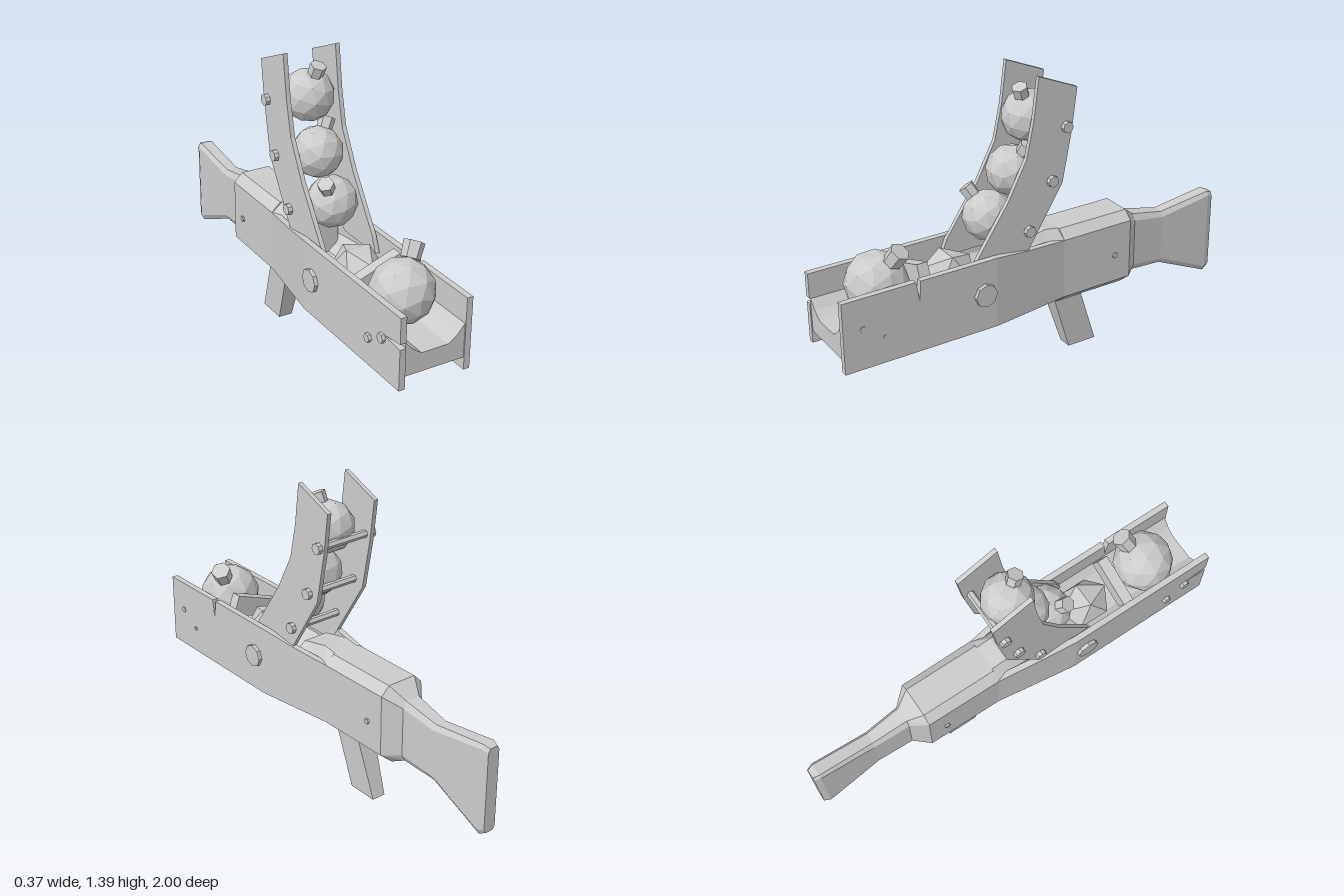
import * as THREE from 'three';

const mat = new THREE.MeshStandardMaterial({ color: 0xcccccc, flatShading: true, side: THREE.DoubleSide });

// Closed solid through cross-sections [z, [[x, y], ...]] listed front to back, corners counter-clockwise
function loft(sections) {
  const n = sections[0][1].length, pos = [], idx = [];
  for (const [z, pts] of sections) for (const [x, y] of pts) pos.push(x, y, z);
  for (let s = 0; s < sections.length - 1; s++) {
    for (let j = 0; j < n; j++) {
      const a = s * n + j, b = s * n + (j + 1) % n;
      idx.push(a, a + n, b, b, a + n, b + n);
    }
  }
  const cap = (s) => THREE.ShapeUtils.triangulateShape(sections[s][1].map((p) => new THREE.Vector2(...p)), []);
  const last = sections.length - 1;
  for (const [a, b, c] of cap(0)) idx.push(a, b, c);
  for (const [a, b, c] of cap(last)) idx.push(last * n + a, last * n + c, last * n + b);
  const g = new THREE.BufferGeometry();
  g.setAttribute('position', new THREE.Float32BufferAttribute(pos, 3));
  g.setIndex(idx);
  const flat = g.toNonIndexed();
  flat.computeVertexNormals();
  return flat;
}

// Side profile of [z, y] points, given thickness along x and centred on x
function sideProfile(points, thickness, x) {
  const shape = new THREE.Shape(points.map((p) => new THREE.Vector2(...p)));
  return new THREE.ExtrudeGeometry(shape, { depth: thickness, bevelEnabled: false })
    .rotateY(-Math.PI / 2).translate(x + thickness / 2, 0, 0);
}

// Cross-section with chamfered top and bottom
const octagon = (hw, bw, y0, y1, tw, y2, y3) => [
  [-bw, y0], [bw, y0], [hw, y1], [hw, y2], [tw, y3], [-tw, y3], [-hw, y2], [-hw, y1]];

export function createModel() {
  const model = new THREE.Group();
  const add = (name, geometry) => {
    const mesh = new THREE.Mesh(geometry, mat);
    mesh.name = name;
    model.add(mesh);
    return mesh;
  };
  const rod = (name, r, x0, x1, y, z, sides) =>
    add(name, new THREE.CylinderGeometry(r, r, Math.abs(x1 - x0), sides)
      .rotateZ(Math.PI / 2).translate((x0 + x1) / 2, y, z));

  // Front planks: the left has a split in its top edge, the right one in its front end
  add('leftPlank', sideProfile([[1, 0.32], [1, 0.645], [0.665, 0.645], [0.65, 0.555], [0.643, 0.645],
    [0.28, 0.645], [0.28, 0.32]], 0.028, 0.153));
  add('rightPlank', sideProfile([[1, 0.32], [1, 0.505], [0.88, 0.515], [1, 0.53], [1, 0.645],
    [0.28, 0.645], [0.28, 0.32]], 0.028, -0.153));

  // Tapering rear planks
  for (const s of [1, -1]) {
    const section = (z, inner, top) => {
      const a = Math.min(s * inner, s * (inner + 0.028)), b = a + 0.028;
      return [z, [[a, 0.32], [b, 0.32], [b, top], [a, top]]];
    };
    add(s > 0 ? 'leftRearPlank' : 'rightRearPlank',
      loft([section(0.28, 0.139, 0.645), section(0.1, 0.114, 0.62), section(-0.1, 0.085, 0.6)]));
  }

  // Grooved trough floor between the planks
  const trough = (w) => [[-1, 0.375], [1, 0.375], [1, 0.53], [0.75, 0.49], [0.45, 0.46],
    [-0.45, 0.46], [-0.75, 0.49], [-1, 0.53]].map(([x, y]) => [x * w, y]);
  add('troughFloor', loft([[0.995, trough(0.14)], [0.28, trough(0.14)], [-0.1, trough(0.09)]]));

  // Receiver, its sloping front crown and the stock
  add('receiverCrown', loft([
    [0.11, octagon(0.1, 0.08, 0.45, 0.47, 0.06, 0.59, 0.62)],
    [-0.03, octagon(0.095, 0.08, 0.45, 0.47, 0.06, 0.6, 0.65)],
    [-0.1, octagon(0.11, 0.08, 0.45, 0.47, 0.06, 0.6, 0.64)]]));
  add('receiverAndStock', loft([
    [-0.1, octagon(0.113, 0.045, 0.265, 0.32, 0.07, 0.6, 0.64)],
    [-0.46, octagon(0.11, 0.045, 0.265, 0.32, 0.07, 0.6, 0.64)],
    [-0.53, octagon(0.052, 0.035, 0.3, 0.33, 0.035, 0.555, 0.585)],
    [-0.7, octagon(0.04, 0.025, 0.285, 0.31, 0.025, 0.525, 0.548)],
    [-0.97, octagon(0.04, 0.028, 0.167, 0.19, 0.028, 0.565, 0.583)],
    [-1, octagon(0.03, 0.02, 0.18, 0.2, 0.02, 0.555, 0.573)]]));

  // Slanted grip, narrowing downwards
  const grip = sideProfile([[-0.09, 0.29], [-0.185, 0], [-0.33, 0], [-0.232, 0.29]], 0.066, 0);
  const gp = grip.attributes.position;
  for (let i = 0; i < gp.count; i++) gp.setX(i, gp.getX(i) * (1 + 1.3 * gp.getY(i)));
  grip.computeVertexNormals();
  add('grip', grip);

  // Curved magazine plates
  const plate = [[0.05, 1.39], [0.075, 1.2], [0.11, 1.04], [0.2, 0.87], [0.36, 0.635], [0.39, 0.56],
    [0.14, 0.56], [0.1, 0.62], [-0.07, 0.89], [-0.115, 1.12], [-0.14, 1.31]];
  for (const s of [1, -1]) add(s > 0 ? 'leftMagazinePlate' : 'rightMagazinePlate', sideProfile(plate, 0.02, s * 0.124));

  // Crossbars with heads
  for (const [y, z] of [[1.145, -0.085], [0.915, -0.015], [0.71, 0.1]]) {
    rod('crossbar', 0.017, -0.14, 0.14, y, z, 6);
    for (const s of [1, -1]) rod('crossbarHead', 0.025, s * 0.134, s * 0.154, y, z, 8);
  }

  // Body bolts
  for (const s of [1, -1]) {
    rod('largeBolt', 0.052, s * 0.15, s * 0.184, 0.49, 0.34, 8);
    rod('receiverBolt', 0.013, s * 0.1, s * 0.12, 0.45, -0.375, 6);
  }
  rod('frontBolt', 0.022, -0.15, -0.182, 0.5, 0.88, 6);
  rod('frontBolt', 0.02, -0.15, -0.182, 0.45, 0.785, 6);
  rod('frontBolt', 0.015, 0.15, 0.171, 0.505, 0.91, 6);
  rod('frontBolt', 0.01, 0.15, 0.171, 0.44, 0.815, 6);

  // Round shots, each with a stubby hexagonal cap: radius, centre, cap position, cap radius
  const shots = [
    [0.138, [0, 0.6, 0.76], [0.08, 0.735, 0.705], 0.045],
    [0.115, [0, 1.175, 0.02], [0.016, 1.285, 0.06], 0.036],
    [0.113, [0, 0.945, 0.1], [0.055, 1.045, 0.07], 0.036],
    [0.113, [0, 0.765, 0.22], [-0.055, 0.86, 0.27], 0.036]];
  shots.forEach(([r, c, p, capR], i) => {
    const ball = add('roundShot', new THREE.IcosahedronGeometry(r, 1));
    ball.position.set(...c);
    ball.rotation.set(0.4 + i, 0.7 * i, 0.3 * i);
    const cap = add('shotCap', new THREE.CylinderGeometry(capR, capR * 0.9, 0.07, 6));
    cap.position.set(...p);
    const dir = cap.position.clone().sub(ball.position).normalize();
    cap.quaternion.setFromUnitVectors(new THREE.Vector3(0, 1, 0), dir);
  });

  // Faceted pusher lying in the trough
  const pusher = add('pusher', new THREE.IcosahedronGeometry(0.12, 0));
  pusher.position.set(0, 0.54, 0.43);
  pusher.scale.set(0.9, 1, 1.15);

  // Tilted slat behind the front shot
  const slat = add('slat', new THREE.BoxGeometry(0.225, 0.09, 0.05));
  slat.position.set(-0.005, 0.595, 0.59);
  slat.rotation.z = 0.35;

  return model;
}
